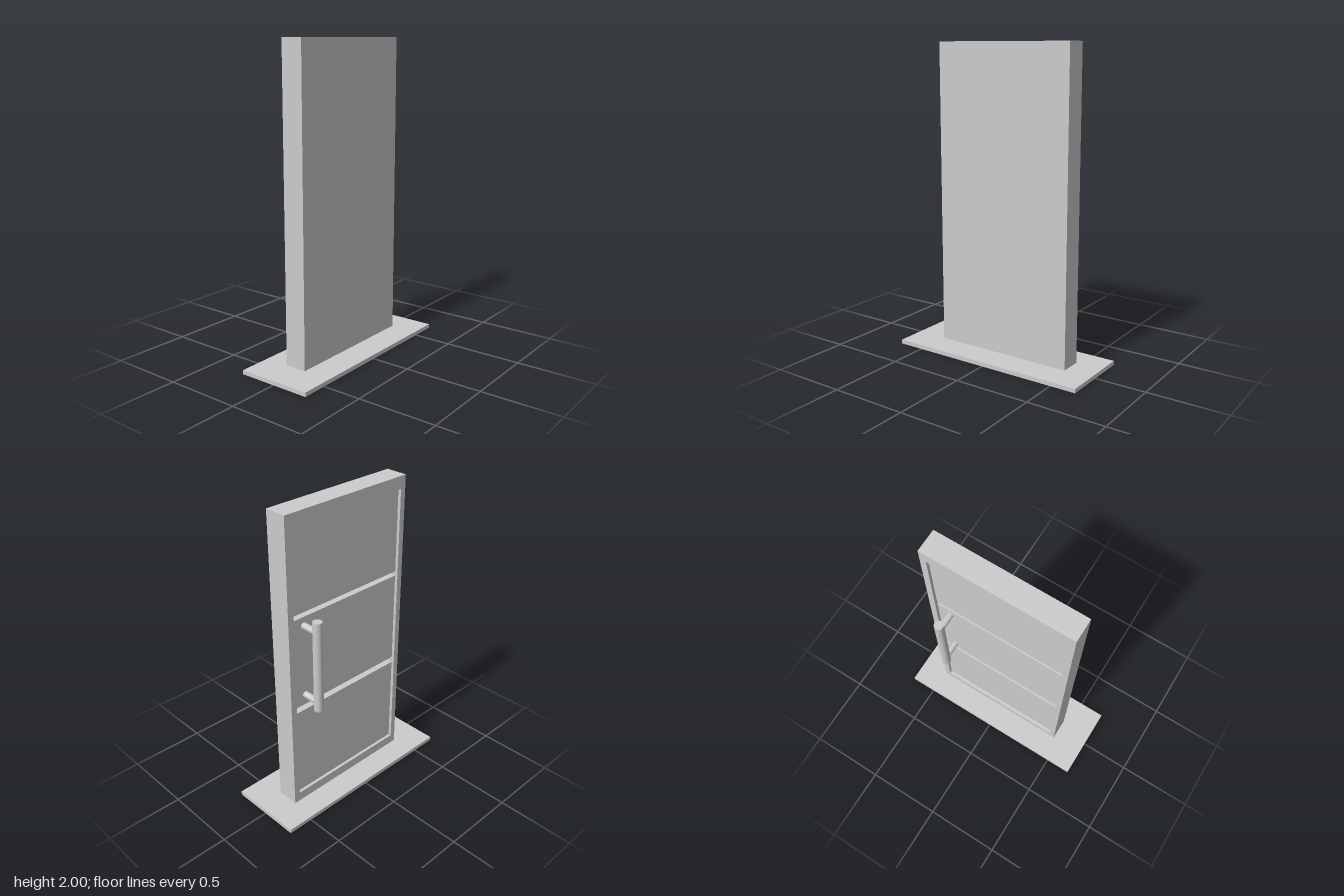
import * as THREE from 'three';

const material = new THREE.MeshStandardMaterial({ color: 0xcccccc });

// Door extents: the panelled face looks towards -x
const DOOR = { x0: -0.085, x1: 0.06, y0: 0.027, y1: 2, z0: -0.49, z1: 0.455 };
const RECESS = 0.02; // depth of the framed field
const SLOT = 0.05; // further depth of the cross grooves
const FIELD = { z0: -0.448, z1: 0.418, y0: 0.09, y1: 1.92 };

function trace(path, z0, z1, y0, y1) {
  path.moveTo(z0, y0);
  path.lineTo(z1, y0);
  path.lineTo(z1, y1);
  path.lineTo(z0, y1);
  path.closePath();
  return path;
}

// One upright layer of the door, with rectangular openings [z0, z1, y0, y1]
function layer(name, xFrom, xTo, openings = []) {
  const shape = trace(new THREE.Shape(), DOOR.z0, DOOR.z1, DOOR.y0, DOOR.y1);
  for (const o of openings) shape.holes.push(trace(new THREE.Path(), ...o));
  const geometry = new THREE.ExtrudeGeometry(shape, { depth: xFrom - xTo, bevelEnabled: false });
  geometry.rotateY(-Math.PI / 2).translate(xFrom, 0, 0);
  return part(name, geometry);
}

function part(name, geometry) {
  const mesh = new THREE.Mesh(geometry, material);
  mesh.name = name;
  return mesh;
}

export function createModel() {
  const model = new THREE.Group();
  model.name = 'doorOnStand';

  // Floor plate
  const base = part('basePlate', new THREE.BoxGeometry(0.494, 0.027, 1.34));
  base.position.y = 0.0135;
  model.add(base);

  // Door leaf: solid core, grooved panel, raised surround
  const door = new THREE.Group();
  door.name = 'door';
  const panelX = DOOR.x0 + RECESS;
  const coreX = panelX + SLOT;
  const grooves = [[0.70, 0.74], [1.345, 1.375]].map(([a, b]) => [FIELD.z0, FIELD.z1, a, b]);
  door.add(
    layer('doorCore', DOOR.x1, coreX),
    layer('groovedPanel', coreX, panelX, grooves),
    layer('doorFrame', panelX, DOOR.x0, [[FIELD.z0, FIELD.z1, FIELD.y0, FIELD.y1]])
  );
  model.add(door);

  // Pull handle: upright bar on two standoffs
  const handle = new THREE.Group();
  handle.name = 'pullHandle';
  const barX = -0.183, barZ = -0.358;
  const bar = part('handleBar', new THREE.CylinderGeometry(0.03, 0.03, 0.605, 32));
  bar.position.set(barX, 1.0575, barZ);
  handle.add(bar);
  for (const y of [0.81, 1.288]) {
    const length = panelX - barX;
    const standoff = part('handleStandoff', new THREE.CylinderGeometry(0.021, 0.021, length, 32));
    standoff.rotation.z = Math.PI / 2;
    standoff.position.set(barX + length / 2, y, barZ);
    handle.add(standoff);
  }
  model.add(handle);

  return model;
}
